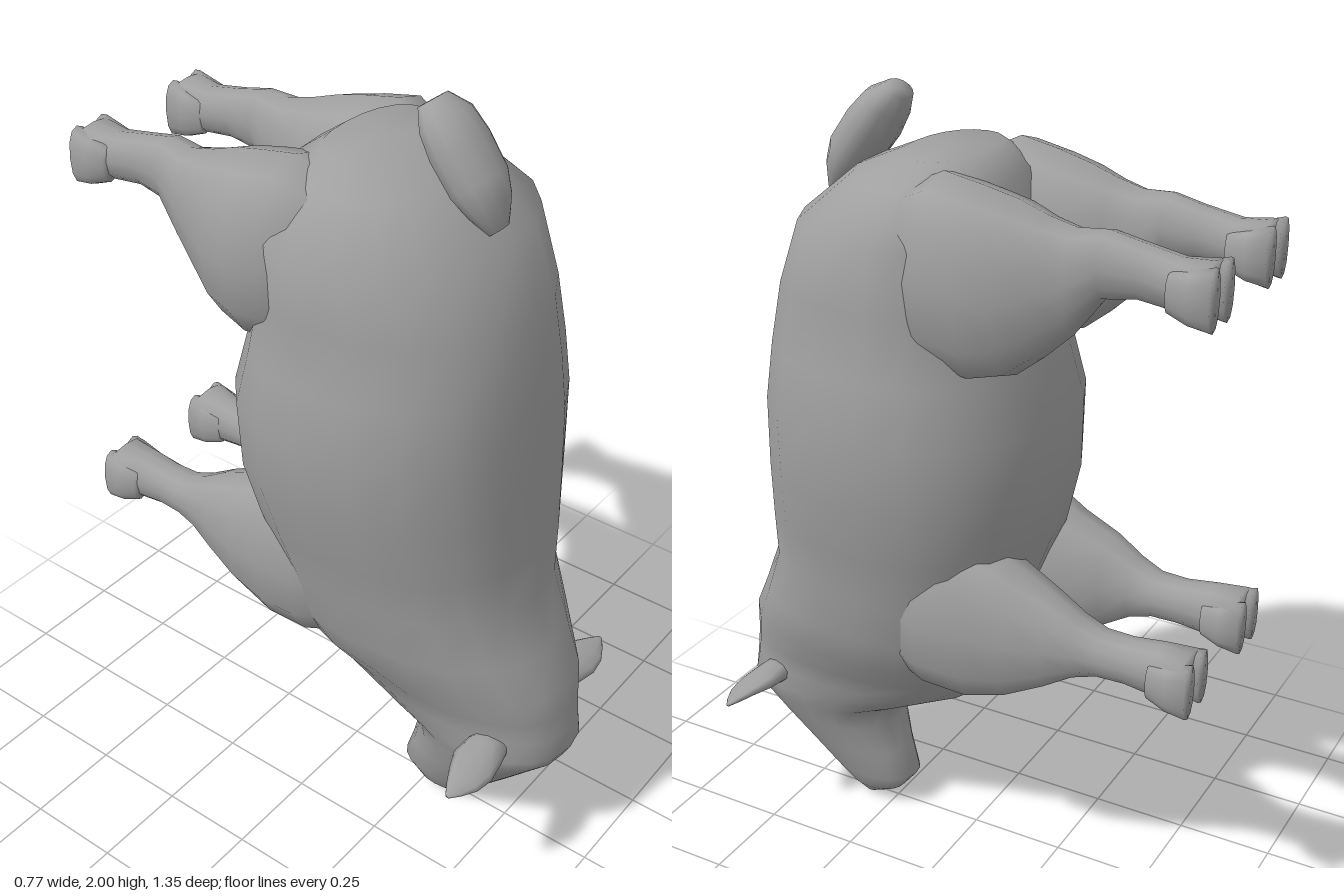
import * as THREE from 'three';

const wool = new THREE.MeshStandardMaterial({ color: 0xa0a0a0 });
wool.name = 'plain grey';

const soft = (v, p) => Math.sign(v) * Math.pow(Math.abs(v), p);

// Skin over a list of closed rings with both ends capped; winding is turned outward.
function loft(name, rings) {
  const n = rings[0].length, pos = [], idx = [];
  rings.forEach(r => r.forEach(p => pos.push(p.x, p.y, p.z)));
  for (let i = 0; i < rings.length - 1; i++) {
    for (let j = 0; j < n; j++) {
      const k = (j + 1) % n, a = i * n + j, b = i * n + k, c = a + n, d = b + n;
      idx.push(a, b, c, b, d, c);
    }
  }
  [0, rings.length - 1].forEach(i => {
    const mid = new THREE.Vector3();
    rings[i].forEach(p => mid.addScaledVector(p, 1 / n));
    const m = pos.length / 3;
    pos.push(mid.x, mid.y, mid.z);
    for (let j = 0; j < n; j++) {
      const a = i * n + j, b = i * n + (j + 1) % n;
      if (i === 0) idx.push(m, b, a); else idx.push(m, a, b);
    }
  });
  // signed volume decides the facing
  const v = i => new THREE.Vector3().fromArray(pos, i * 3);
  let volume = 0;
  for (let i = 0; i < idx.length; i += 3) volume += v(idx[i]).dot(v(idx[i + 1]).cross(v(idx[i + 2])));
  if (volume < 0) idx.reverse();
  const geo = new THREE.BufferGeometry();
  geo.setAttribute('position', new THREE.Float32BufferAttribute(pos, 3));
  geo.setIndex(idx);
  geo.computeVertexNormals();
  const mesh = new THREE.Mesh(geo, wool);
  mesh.name = name;
  return mesh;
}

const ring = (n, fn) => Array.from({ length: n }, (_, i) => {
  const t = (i / n) * Math.PI * 2;
  return new THREE.Vector3(...fn(Math.cos(t), Math.sin(t)));
});

// Torso, neck and head: [y, half width, back z, belly z, z of widest point]
const trunk = [
  [1.87, 0.165, 0.16, -0.03, 0.06],
  [1.82, 0.235, 0.28, -0.10, 0.06],
  [1.71, 0.345, 0.41, -0.13, 0.08],
  [1.55, 0.335, 0.48, -0.16, 0.10],
  [1.40, 0.36, 0.505, -0.20, 0.11],
  [1.26, 0.385, 0.52, -0.24, 0.11],
  [1.08, 0.37, 0.53, -0.24, 0.11],
  [0.93, 0.335, 0.54, -0.21, 0.13],
  [0.80, 0.305, 0.545, -0.16, 0.15],
  [0.67, 0.285, 0.60, -0.14, 0.18],
  [0.57, 0.245, 0.65, -0.12, 0.23],
  [0.49, 0.20, 0.66, -0.07, 0.32],
  [0.43, 0.18, 0.667, 0.01, 0.38],
  [0.37, 0.172, 0.675, 0.14, 0.44],
  [0.33, 0.16, 0.655, 0.235, 0.44],
  [0.27, 0.138, 0.60, 0.24, 0.42],
  [0.18, 0.105, 0.52, 0.215, 0.37],
  [0.10, 0.082, 0.445, 0.19, 0.31],
  [0.05, 0.06, 0.385, 0.23, 0.31],
  [0.008, 0.022, 0.345, 0.31, 0.33],
];

// Leg sections: [z, inner x, outer x, low y, high y]
const hindLeg = [
  [0.12, 0.06, 0.28, 1.50, 1.80],
  [-0.02, 0.03, 0.335, 1.42, 1.865],
  [-0.12, 0.03, 0.33, 1.40, 1.845],
  [-0.20, 0.04, 0.31, 1.42, 1.825],
  [-0.27, 0.075, 0.275, 1.475, 1.80],
  [-0.34, 0.10, 0.245, 1.54, 1.782],
  [-0.41, 0.105, 0.225, 1.632, 1.786],
  [-0.49, 0.108, 0.215, 1.645, 1.768],
  [-0.58, 0.105, 0.22, 1.635, 1.75],
  [-0.655, 0.095, 0.235, 1.67, 1.755],
];
const foreLeg = [
  [0.15, 0.06, 0.25, 0.60, 0.92],
  [0.02, 0.04, 0.30, 0.56, 0.99],
  [-0.10, 0.035, 0.295, 0.55, 0.99],
  [-0.20, 0.05, 0.275, 0.58, 0.93],
  [-0.30, 0.085, 0.25, 0.635, 0.885],
  [-0.37, 0.10, 0.23, 0.68, 0.84],
  [-0.43, 0.105, 0.22, 0.70, 0.812],
  [-0.50, 0.108, 0.215, 0.70, 0.81],
  [-0.58, 0.105, 0.22, 0.69, 0.82],
  [-0.655, 0.095, 0.235, 0.73, 0.82],
];
const sections = (list, side) => list.map(([z, x0, x1, y0, y1]) => ring(12, (c, s) => [
  side * ((x0 + x1) / 2 + soft(c, 0.85) * (x1 - x0) / 2),
  (y0 + y1) / 2 + soft(s, 0.85) * (y1 - y0) / 2, z]));

// Cloven toes at the end of a leg
const toe = (x, y) => [
  [-0.57, x - 0.025, x + 0.025, y + 0.03, y + 0.12],
  [-0.62, x - 0.035, x + 0.035, y + 0.01, y + 0.13],
  [-0.67, x - 0.032, x + 0.032, y, y + 0.145],
];

function createModel() {
  const model = new THREE.Group();
  model.name = 'sheep';

  model.add(loft('body', trunk.map(([y, w, zf, zb, zc]) => ring(20, (c, s) => [
    soft(s, 0.9) * w, y, zc + soft(c, 0.9) * (c > 0 ? zf - zc : zc - zb)]))));

  // Tail: [y, z, half width, half depth], rings tilted across its length
  const tail = [
    [1.985, 0.20, 0.042, 0.032], [1.95, 0.235, 0.075, 0.055], [1.90, 0.272, 0.082, 0.065],
    [1.83, 0.325, 0.08, 0.063], [1.785, 0.355, 0.062, 0.048], [1.735, 0.38, 0.034, 0.018],
  ];
  model.add(loft('tail', tail.map(([y, z, w, d]) => ring(12, (c, s) =>
    [c * w, y + s * d * 0.6, z + s * d * 0.8]))));

  // Ears: [x, y, z, half breadth, half thickness], blade tilted in the y-z plane
  const ear = [
    [0.12, 0.41, 0.53, 0.04, 0.035], [0.18, 0.415, 0.535, 0.05, 0.03],
    [0.24, 0.415, 0.54, 0.056, 0.021], [0.29, 0.413, 0.547, 0.042, 0.014],
    [0.33, 0.411, 0.547, 0.022, 0.009], [0.355, 0.41, 0.546, 0.006, 0.004],
  ];

  for (const [side, label] of [[1, 'left'], [-1, 'right']]) {
    model.add(loft(label + 'Ear', ear.map(([x, y, z, b, t]) => ring(10, (c, s) =>
      [side * x, y - c * b * 0.3 + s * t, z + c * b + s * t * 0.3]))));
    for (const [part, list, y] of [['HindLeg', hindLeg, 1.61], ['ForeLeg', foreLeg, 0.67]]) {
      const leg = new THREE.Group();
      leg.name = label + part;
      leg.add(loft('leg', sections(list, side)));
      leg.add(loft('innerToe', sections(toe(0.125, y), side)));
      leg.add(loft('outerToe', sections(toe(0.207, y), side)));
      model.add(leg);
    }
  }
  return model;
}

export { createModel };
